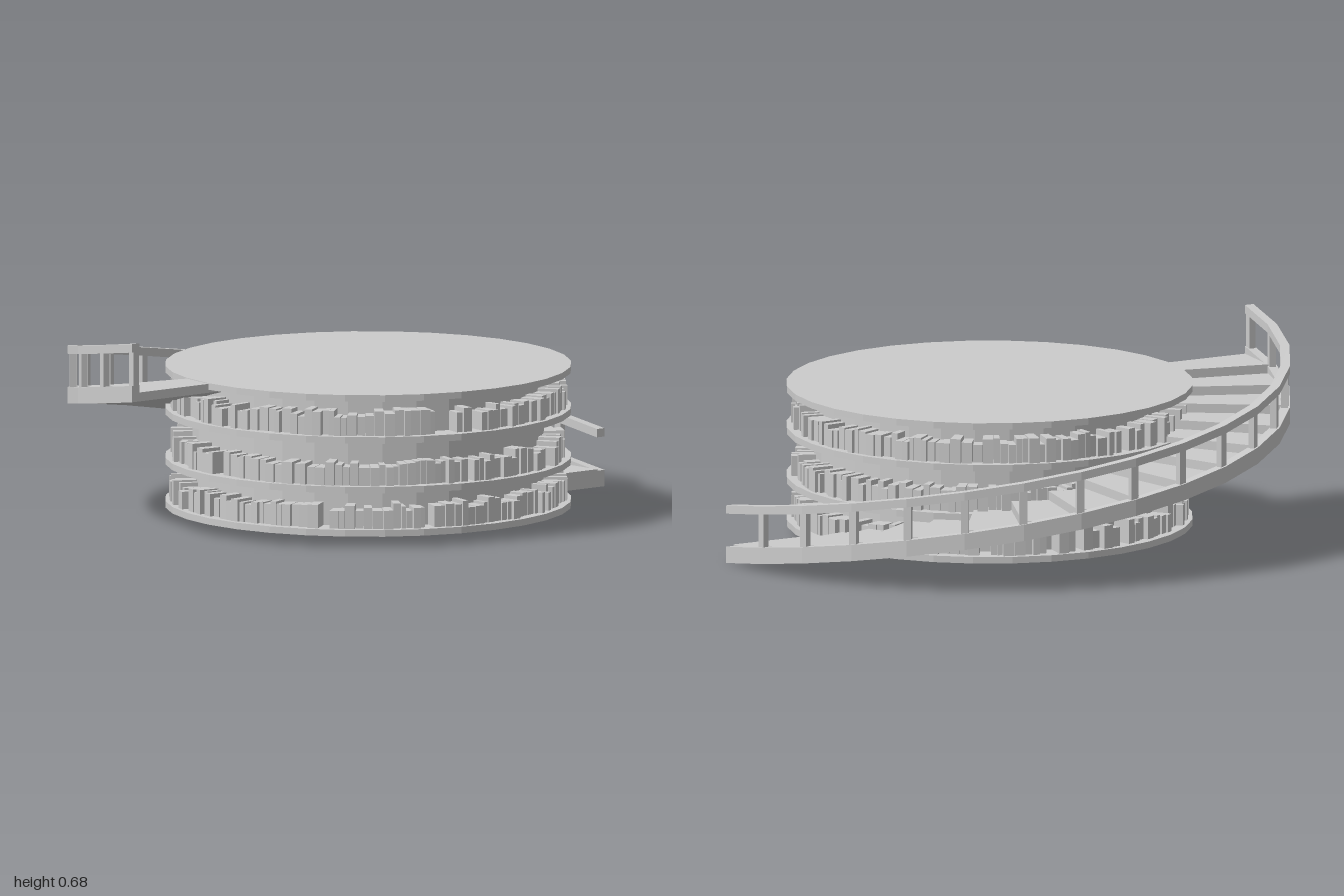
import * as THREE from 'three';
import { mergeGeometries } from 'three/addons/utils/BufferGeometryUtils.js';

const ZC = 0.155;          // tower axis
const STEPS = 16;          // treads over half a turn
const RISE = 0.03;
const CORE_R = 0.585, SHELF_R = 0.675;
const mat = new THREE.MeshStandardMaterial({ color: 0xcccccc, flatShading: true });

// Box bent around the axis: radii r, angles a, bottom and top heights at both ends
function arcBlock([r0, r1], [a0, a1], [b0, b1], [t0, t1]) {
  const g = new THREE.BoxGeometry(1, 1, 1);
  const p = g.attributes.position;
  const mix = THREE.MathUtils.lerp;
  for (let i = 0; i < p.count; i++) {
    const w = 0.5 - p.getZ(i);
    const r = mix(r0, r1, p.getX(i) + 0.5);
    const a = mix(a0, a1, w);
    const y = mix(mix(b0, b1, w), mix(t0, t1, w), p.getY(i) + 0.5);
    p.setXYZ(i, r * Math.cos(a), y, -r * Math.sin(a));
  }
  g.computeVertexNormals();
  return g;
}

function seeded(seed) {
  return () => (seed = (seed * 16807) % 2147483647) / 2147483647;
}

export function createModel() {
  const model = new THREE.Group();
  model.name = 'roundLibraryWithStair';
  const add = (name, geometry) => {
    const mesh = new THREE.Mesh(geometry, mat);
    mesh.name = name;
    mesh.position.z = ZC;
    model.add(mesh);
  };
  const disc = (name, r, y0, y1) =>
    add(name, new THREE.CylinderGeometry(r, r, y1 - y0, 32).translate(0, (y0 + y1) / 2, 0));

  // Central drum, shelves and top
  disc('core', CORE_R, 0.05, 0.5);
  const shelves = [0.037, 0.182, 0.349];
  shelves.forEach((y) => disc('shelf', SHELF_R, y, y + 0.022));
  disc('topDisc', SHELF_R, 0.49, 0.512);

  // Rows of books of uneven width, height and depth
  shelves.forEach((y, row) => {
    const rnd = seeded(71 + row * 37);
    const books = [];
    const base = y + 0.022;
    for (let a = 0; a < Math.PI * 2 - 0.02;) {
      const width = 0.025 + rnd() * 0.035;
      const end = Math.min(a + width, Math.PI * 2);
      const top = base + 0.058 + rnd() * 0.028;
      const outer = 0.632 + rnd() * 0.03;
      if (rnd() > 0.07) {
        books.push(arcBlock([CORE_R - 0.01, outer], [a, end - 0.003], [base, base], [top, top]));
      }
      a = end;
    }
    add('bookRow', mergeGeometries(books));
  });

  // Winding stair: flat treads on a sloping underside, edge curb, handrail and posts
  const treads = [], curb = [], rail = [], posts = [];
  const edge = [0.968, 1];
  const slope = (i, h) => [i * RISE + h, (i + 1) * RISE + h];
  for (let i = 0; i < STEPS; i++) {
    const arc = [i, i + 1].map((k) => (k * Math.PI) / STEPS);
    const top = (i + 2) * RISE;
    treads.push(arcBlock([CORE_R - 0.003, 0.97], arc, slope(i, 0), [top, top]));
    curb.push(arcBlock(edge, arc, slope(i, 0), slope(i, 0.055)));
    rail.push(arcBlock(edge, arc, slope(i, 0.167), slope(i, 0.195)));

    // Posts stand at the upper end of each tread; the last is flush with the end
    const half = 0.013;
    const mid = i === STEPS - 1 ? arc[1] - half : arc[1];
    const y = (i + 1) * RISE;
    posts.push(arcBlock([0.971, 0.993], [mid - half, mid + half],
      [y + 0.045, y + 0.045], [y + 0.175, y + 0.175]));
  }
  add('stairTreads', mergeGeometries(treads));
  add('stairCurb', mergeGeometries(curb));
  add('handrail', mergeGeometries(rail));
  add('railPosts', mergeGeometries(posts));

  return model;
}
